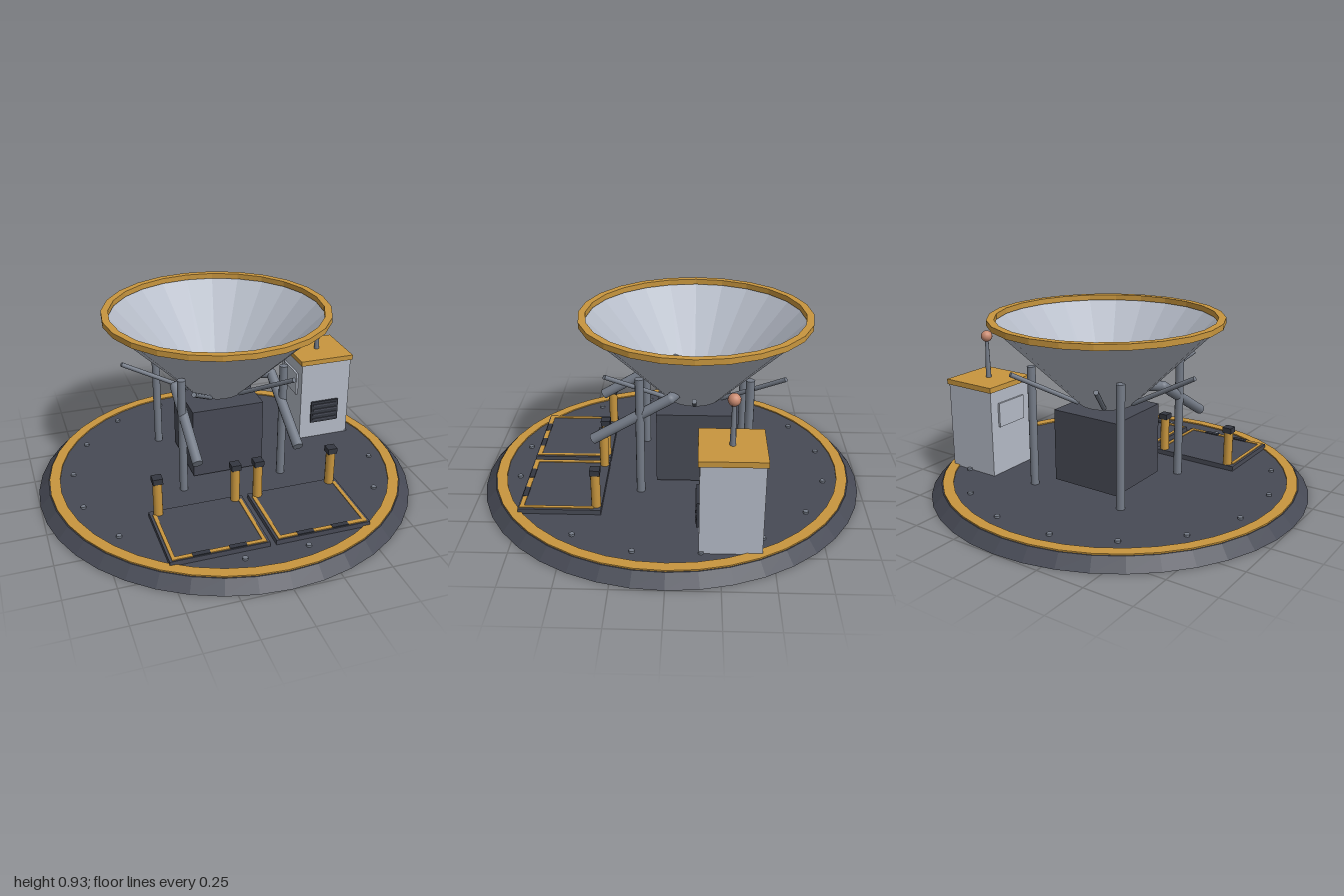
import * as THREE from 'three';

const mat = (name, color, side = THREE.FrontSide) => {
  const m = new THREE.MeshStandardMaterial({ color, side });
  m.name = name;
  return m;
};

export function createModel() {
  const root = new THREE.Group();
  root.name = 'funnelStation';
  const slate = mat('slate', 0x474a55);
  const gold = mat('ochre', 0xc8963e);
  const pale = mat('paleGrey', 0xb4bac6, THREE.DoubleSide);
  const steel = mat('steel', 0x757c88);
  const dark = mat('charcoal', 0x343740);
  const copper = mat('copper', 0xc98a70);

  const add = (name, geo, material, x = 0, y = 0, z = 0, parent = root) => {
    const m = new THREE.Mesh(geo, material);
    m.name = name;
    m.position.set(x, y, z);
    parent.add(m);
    return m;
  };
  const box = (name, w, h, d, material, x, y, z, parent) =>
    add(name, new THREE.BoxGeometry(w, h, d), material, x, y, z, parent);
  const facet = (geo) => {
    const g = geo.toNonIndexed();
    g.computeVertexNormals();
    return g;
  };
  const lathe = (pts, sides) =>
    facet(new THREE.LatheGeometry(pts.map(([r, y]) => new THREE.Vector2(r, y)), sides));
  const ring = (ri, ro, y0, y1, sides) =>
    lathe([[ri, y0], [ro, y0], [ro, y1], [ri, y1], [ri, y0]], sides);
  // Round bar between two points
  const bar = (name, a, b, r, material, parent) => {
    const A = new THREE.Vector3(...a), B = new THREE.Vector3(...b);
    const d = B.clone().sub(A);
    const m = add(name, new THREE.CylinderGeometry(r, r, d.length(), 12), material, 0, 0, 0, parent);
    m.position.copy(A).add(B).multiplyScalar(0.5);
    m.quaternion.setFromUnitVectors(new THREE.Vector3(0, 1, 0), d.normalize());
    return m;
  };

  // Round base with painted border and bolts
  add('base', facet(new THREE.CylinderGeometry(0.945, 1, 0.057, 40)), slate, 0, 0.0285, 0);
  add('borderRing', ring(0.885, 0.94, 0.05, 0.064, 40), gold);
  for (let i = 0; i < 16; i++) {
    const a = (i + 0.5) * Math.PI / 8;
    add('bolt', new THREE.CylinderGeometry(0.014, 0.014, 0.012, 8), steel,
      0.815 * Math.sin(a), 0.062, 0.815 * Math.cos(a));
  }

  // Funnel with rim, standing over the machine block
  const funnel = new THREE.Group();
  funnel.name = 'funnel';
  funnel.position.z = -0.12;
  root.add(funnel);
  add('funnelCone', lathe([[0.14, 0.48], [0.575, 0.91]], 24), pale, 0, 0, 0, funnel);
  add('funnelRim', ring(0.555, 0.592, 0.903, 0.932, 24), gold, 0, 0, 0, funnel);
  box('machineBlock', 0.385, 0.382, 0.385, slate, 0, 0.264, 0, funnel);

  // Four legs and six sloping braces
  for (const x of [-0.27, 0.27]) for (const z of [-0.27, 0.27])
    bar('leg', [x, 0.056, z], [x, 0.69, z], 0.022, steel, funnel);
  for (let i = 0; i < 6; i++) {
    const a = i * Math.PI / 3, c = Math.cos(a), s = Math.sin(a);
    bar('brace', [0.16 * c, 0.5, 0.16 * s], [0.51 * c, 0.69, 0.51 * s], 0.012, steel, funnel);
  }

  // Bent delivery pipes
  const joint = new THREE.SphereGeometry(0.027, 16, 10);
  add('pipeJoint', joint, steel, 0, 0.58, -0.12);
  for (const s of [-1, 1]) {
    const elbow = [s * 0.262, 0.58, 0];
    bar('pipeInner', [0, 0.58, -0.12], elbow, 0.027, steel);
    add('pipeElbow', joint, steel, ...elbow);
    bar('pipeOuter', elbow, [s * 0.262, 0.35, 0.39], 0.027, steel);
  }

  // Two loading bays with striped edges and marker posts
  for (const s of [-1, 1]) {
    const bay = new THREE.Group();
    bay.name = 'loadingBay';
    bay.position.set(s * 0.26, 0, 0.54);
    root.add(bay);
    box('bayPlate', 0.488, 0.026, 0.412, slate, 0, 0.07, 0, bay);
    for (const x of [-0.222, 0.222])
      box('baySideStripe', 0.018, 0.006, 0.37, gold, x, 0.084, 0.015, bay);
    box('bayFrontStripe', 0.46, 0.006, 0.022, gold, 0, 0.084, 0.188, bay);
    for (const x of [-0.09, 0.09])
      box('bayFrontDash', 0.085, 0.009, 0.026, dark, x, 0.084, 0.188, bay);
    for (const x of [-0.2, 0.2]) {
      add('post', new THREE.CylinderGeometry(0.024, 0.024, 0.19, 12), gold, x, 0.173, -0.18, bay);
      box('postCap', 0.05, 0.03, 0.05, dark, x, 0.28, -0.18, bay);
    }
  }

  // Control cabinet with roof, vent, side panel and antenna
  const cabinet = new THREE.Group();
  cabinet.name = 'controlCabinet';
  cabinet.position.set(0.655, 0, -0.295);
  root.add(cabinet);
  box('cabinetBody', 0.294, 0.466, 0.294, pale, 0, 0.289, 0, cabinet);
  box('cabinetRoof', 0.31, 0.028, 0.31, gold, 0, 0.534, 0, cabinet);
  box('vent', 0.165, 0.13, 0.014, dark, -0.002, 0.22, 0.152, cabinet);
  for (let i = 0; i < 4; i++)
    box('ventSlat', 0.145, 0.01, 0.008, slate, -0.002, 0.175 + i * 0.03, 0.16, cabinet);
  box('sidePanel', 0.012, 0.13, 0.19, pale, -0.152, 0.385, 0, cabinet);
  add('antenna', new THREE.CylinderGeometry(0.009, 0.015, 0.21, 10), steel, 0, 0.65, 0, cabinet);
  add('antennaBall', new THREE.SphereGeometry(0.03, 16, 12), copper, 0, 0.773, 0, cabinet);

  return root;
}
